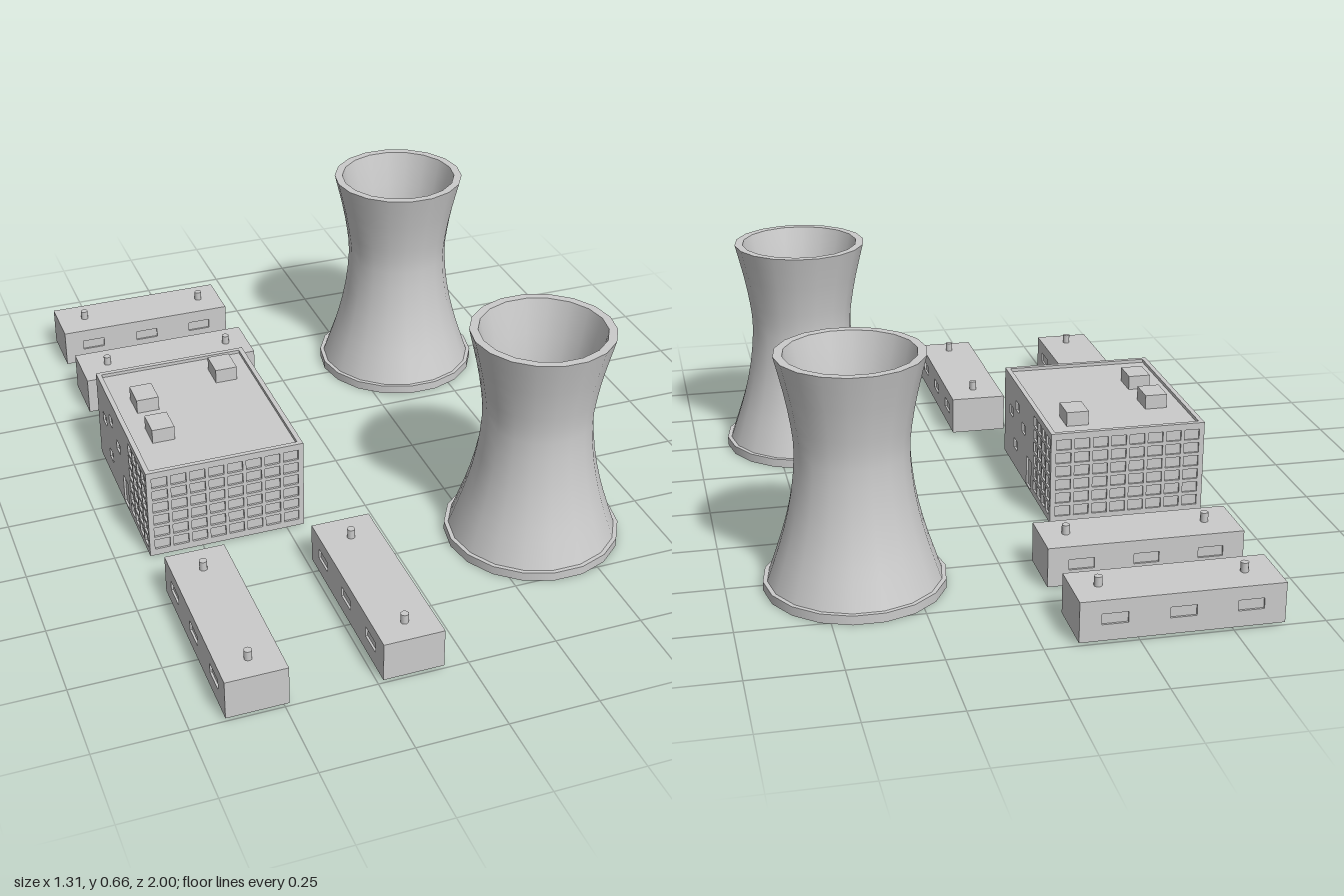
import * as THREE from 'three';

const material = new THREE.MeshStandardMaterial({ color: 0xcccccc, side: THREE.DoubleSide });

function add(parent, name, geometry, x = 0, y = 0, z = 0) {
  const mesh = new THREE.Mesh(geometry, material);
  mesh.name = name;
  mesh.position.set(x, y, z);
  parent.add(mesh);
  return mesh;
}

// Box standing on y = 0 without its underside
function openBox(w, h, d) {
  const geometry = new THREE.BoxGeometry(w, h, d).translate(0, h / 2, 0);
  const index = Array.from(geometry.index.array);
  index.splice(18, 6);
  geometry.setIndex(index);
  geometry.clearGroups();
  return geometry;
}

// Flat wall with rectangular openings [x, y, width, height], x and y at the lower left
function wallGeometry(w, h, depth, openings) {
  const rect = (path, x, y, rw, rh) =>
    path.moveTo(x, y).lineTo(x + rw, y).lineTo(x + rw, y + rh).lineTo(x, y + rh).closePath();
  const shape = rect(new THREE.Shape(), -w / 2, 0, w, h);
  for (const o of openings) shape.holes.push(rect(new THREE.Path(), ...o));
  return new THREE.ExtrudeGeometry(shape, { depth, bevelEnabled: false });
}

// Rows and columns of windows between x0 and x1
function windowGrid(x0, x1, y0, y1, columns, rows) {
  const list = [];
  const cw = (x1 - x0) / columns, rh = (y1 - y0) / rows;
  for (let c = 0; c < columns; c++) {
    for (let r = 0; r < rows; r++) {
      list.push([x0 + c * cw + 0.005, y0 + r * rh + 0.005, cw - 0.01, rh - 0.01]);
    }
  }
  return list;
}

// Shell with four pierced walls in front of a closed core
function building(name, w, h, d, roofDrop, endOpenings, sideOpenings) {
  const t = 0.006;
  const group = new THREE.Group();
  group.name = name;
  add(group, 'core', openBox(w - 2 * t, h - roofDrop, d - 2 * t));
  for (let i = 0; i < 4; i++) {
    const side = i % 2 === 1;
    const angle = i * Math.PI / 2;
    const offset = (side ? w : d) / 2 - t;
    const wall = add(group, 'wall', wallGeometry(side ? d : w, h, t, side ? sideOpenings : endOpenings),
      Math.sin(angle) * offset, 0, Math.cos(angle) * offset);
    wall.rotation.y = angle;
  }
  return group;
}

function createMainBlock() {
  const w = 0.455, h = 0.275, d = 0.57;
  const ends = windowGrid(-w / 2 + 0.01, w / 2 - 0.01, 0.015, 0.26, 8, 6);
  // Long sides: a window bay, an entrance and scattered windows
  const sides = [
    ...windowGrid(0.08, d / 2 - 0.01, 0.015, 0.26, 4, 6),
    [0.0, 0.005, 0.055, 0.09],
    [-0.06, 0.15, 0.04, 0.03], [-0.14, 0.19, 0.04, 0.03],
    [-0.22, 0.15, 0.04, 0.03], [-0.16, 0.06, 0.04, 0.03]
  ];
  const group = building('mainBlock', w, h, d, 0.01, ends, sides);

  // Parapet around the roof
  const outer = new THREE.Shape().moveTo(-w / 2, -d / 2).lineTo(w / 2, -d / 2)
    .lineTo(w / 2, d / 2).lineTo(-w / 2, d / 2).closePath();
  const a = w / 2 - 0.014, b = d / 2 - 0.014;
  outer.holes.push(new THREE.Path().moveTo(-a, -b).lineTo(a, -b).lineTo(a, b).lineTo(-a, b).closePath());
  const parapet = new THREE.ExtrudeGeometry(outer, { depth: 0.012, bevelEnabled: false });
  add(group, 'parapet', parapet.rotateX(-Math.PI / 2), 0, h - 0.012, 0);

  // Rooftop units
  for (const [x, z] of [[-0.132, -0.083], [-0.132, 0.085], [0.13, -0.168]]) {
    add(group, 'rooftopUnit', openBox(0.065, 0.042, 0.083), x, h - 0.01, z);
  }
  group.position.set(-0.4275, 0.01, -0.002);
  return group;
}

function createShed(x, z, turn) {
  const length = 0.547, h = 0.113, width = 0.168;
  const windows = [-0.18, 0, 0.18].map((c) => [c - 0.035, 0.045, 0.07, 0.03]);
  const shed = building('shed', length, h, width, 0, windows, []);
  for (const cx of [-0.188, 0.203]) {
    add(shed, 'chimney', new THREE.CylinderGeometry(0.011, 0.011, 0.03, 10), cx, h + 0.012, 0);
  }
  shed.position.set(x, 0.012, z);
  shed.rotation.y = turn;
  return shed;
}

function createTower(z) {
  const tower = new THREE.Group();
  tower.name = 'coolingTower';
  const lathe = (name, points) => add(tower, name,
    new THREE.LatheGeometry(points.map((p) => new THREE.Vector2(...p)), 18, Math.PI / 2));
  const profile = new THREE.SplineCurve([
    [0.236, 0.03], [0.212, 0.1], [0.187, 0.18], [0.165, 0.28],
    [0.154, 0.39], [0.16, 0.47], [0.176, 0.56], [0.2, 0.66]
  ].map((p) => new THREE.Vector2(...p))).getPoints(14).map((p) => [p.x, p.y]);
  const inner = profile.map(([r, y]) => [r - 0.024, y]).reverse();

  lathe('outerShell', profile);
  lathe('innerShell', inner);
  lathe('topRim', [[0.2, 0.66], [0.176, 0.66]]);
  // Foot ring
  lathe('footSide', [[0.248, 0.004], [0.248, 0.03]]);
  lathe('footTop', [[0.248, 0.03], [0.212, 0.03]]);
  lathe('footInside', [[0.232, 0.03], [0.232, 0.004]]);
  lathe('footUnderside', [[0.232, 0.004], [0.248, 0.004]]);
  // Closing plate at the waist
  add(tower, 'waistPlate', new THREE.CircleGeometry(0.131, 18).rotateX(-Math.PI / 2), 0, 0.38, 0);
  tower.position.set(0.403, 0, z);
  return tower;
}

export function createModel() {
  const model = new THREE.Group();
  model.name = 'powerStation';
  model.add(createMainBlock());
  model.add(createTower(0.52), createTower(-0.53));
  model.add(createShed(-0.572, 0.725, -Math.PI / 2), createShed(-0.152, 0.725, -Math.PI / 2));
  model.add(createShed(-0.364, -0.916, 0), createShed(-0.364, -0.6, 0));
  return model;
}
